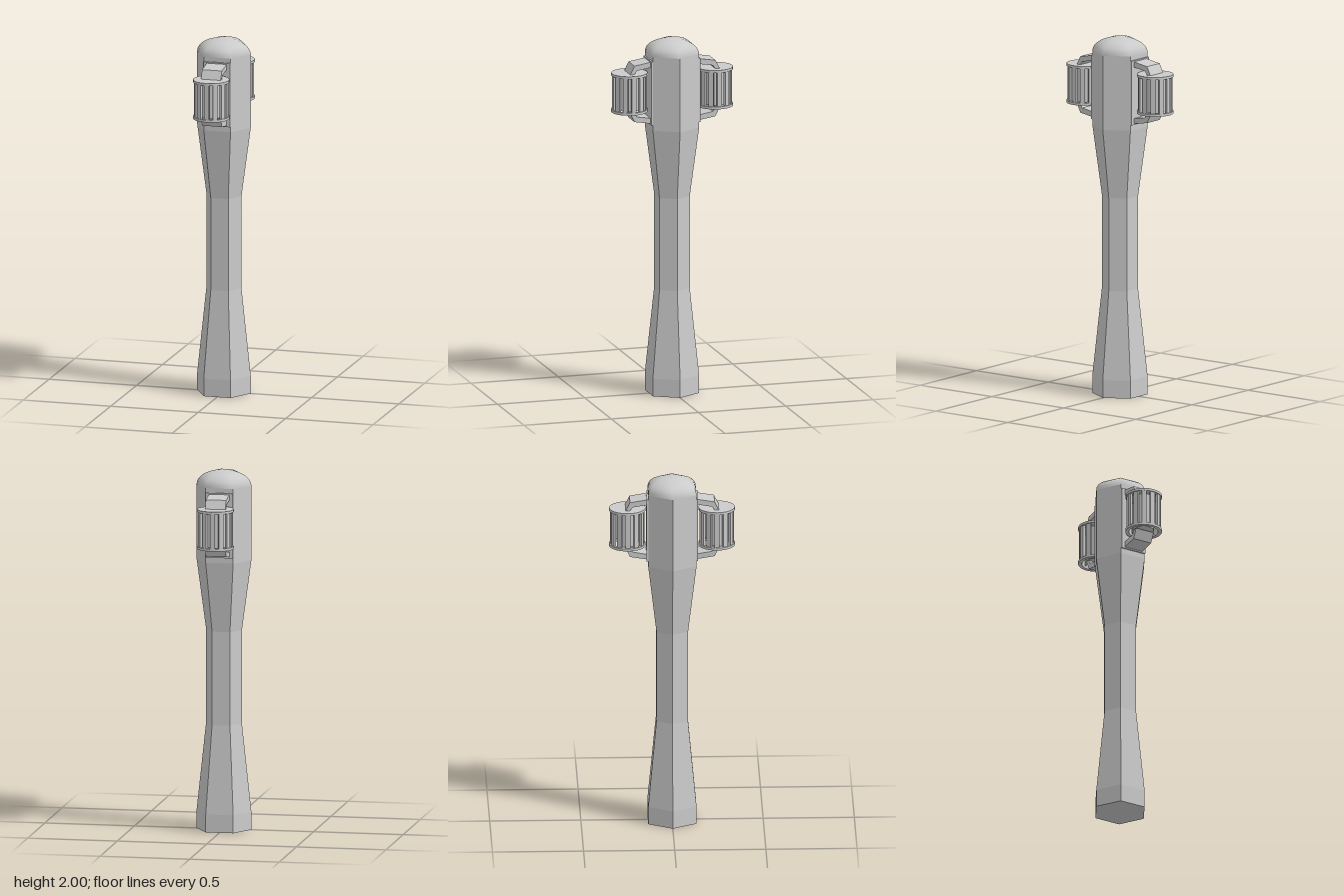
import * as THREE from 'three';

export function createModel() {
  const root = new THREE.Group();
  const flat = new THREE.MeshStandardMaterial({ color: 0xcccccc, flatShading: true });
  const smooth = new THREE.MeshStandardMaterial({ color: 0xcccccc });

  const add = (parent, name, geometry, material = flat) => {
    const mesh = new THREE.Mesh(geometry, material);
    mesh.name = name;
    parent.add(mesh);
    return mesh;
  };
  // six-sided lathe with corners on the x axis
  const hexLathe = (profile) => new THREE.LatheGeometry(
    profile.map(([r, y]) => new THREE.Vector2(r, y)), 6, Math.PI / 2);

  // waisted hexagonal post and its rounded cap
  add(root, 'post', hexLathe([[0, 0], [0.153, 0], [0.153, 0.1], [0.1, 0.59],
    [0.1, 1.11], [0.153, 1.5], [0.153, 1.915]]));
  const dome = [];
  for (let i = 0; i <= 8; i++) {
    const a = (i / 8) * Math.PI / 2;
    dome.push([i === 8 ? 0 : 0.153 * Math.cos(a), 1.915 + 0.085 * Math.sin(a)]);
  }
  add(root, 'domeCap', hexLathe(dome), smooth);

  // extrude a [z, y] outline across x, centred
  const armGeometry = (outline, width) => {
    const shape = new THREE.Shape(outline.map(([z, y]) => new THREE.Vector2(-z, y)));
    const g = new THREE.ExtrudeGeometry(shape, { depth: width, bevelEnabled: false });
    return g.translate(0, 0, -width / 2).rotateY(Math.PI / 2);
  };
  const midY = 1.71;
  const upper = [[0.13, 1.885], [0.232, 1.868], [0.258, 1.815],
    [0.236, 1.815], [0.218, 1.84], [0.13, 1.855]];
  const lower = upper.map(([z, y]) => [z, 2 * midY - y]);

  for (const [side, turn] of [['front', 0], ['back', Math.PI]]) {
    const lamp = new THREE.Group();
    lamp.name = side + 'Lamp';
    lamp.rotation.y = turn;
    root.add(lamp);

    // wall plate with bent arms above and below
    add(lamp, 'wallPlate', new THREE.BoxGeometry(0.152, 0.36, 0.012)).position.set(0, midY, 0.135);
    add(lamp, 'upperArm', armGeometry(upper, 0.113));
    add(lamp, 'lowerArm', armGeometry(lower, 0.113));

    // caged lantern
    const cage = new THREE.Group();
    cage.name = 'lantern';
    cage.position.set(0, midY, 0.245);
    lamp.add(cage);
    add(cage, 'topDisc', new THREE.CylinderGeometry(0.1, 0.1, 0.014, 24)).position.y = 0.103;
    const ring = new THREE.Shape().absarc(0, 0, 0.1, 0, Math.PI * 2);
    ring.holes.push(new THREE.Path().absarc(0, 0, 0.08, 0, Math.PI * 2, true));
    const ringGeometry = new THREE.ExtrudeGeometry(ring,
      { depth: 0.014, bevelEnabled: false, curveSegments: 24 }).rotateX(-Math.PI / 2);
    add(cage, 'bottomRing', ringGeometry).position.y = -0.11;
    add(cage, 'lampCore', new THREE.CylinderGeometry(0.055, 0.055, 0.2, 24), flat);
    for (let i = 0; i < 12; i++) {
      const a = (i / 12) * Math.PI * 2;
      const bar = add(cage, 'cageBar', new THREE.BoxGeometry(0.027, 0.2, 0.014));
      bar.position.set(0.087 * Math.sin(a), 0, 0.087 * Math.cos(a));
      bar.rotation.y = a;
    }
  }
  return root;
}
